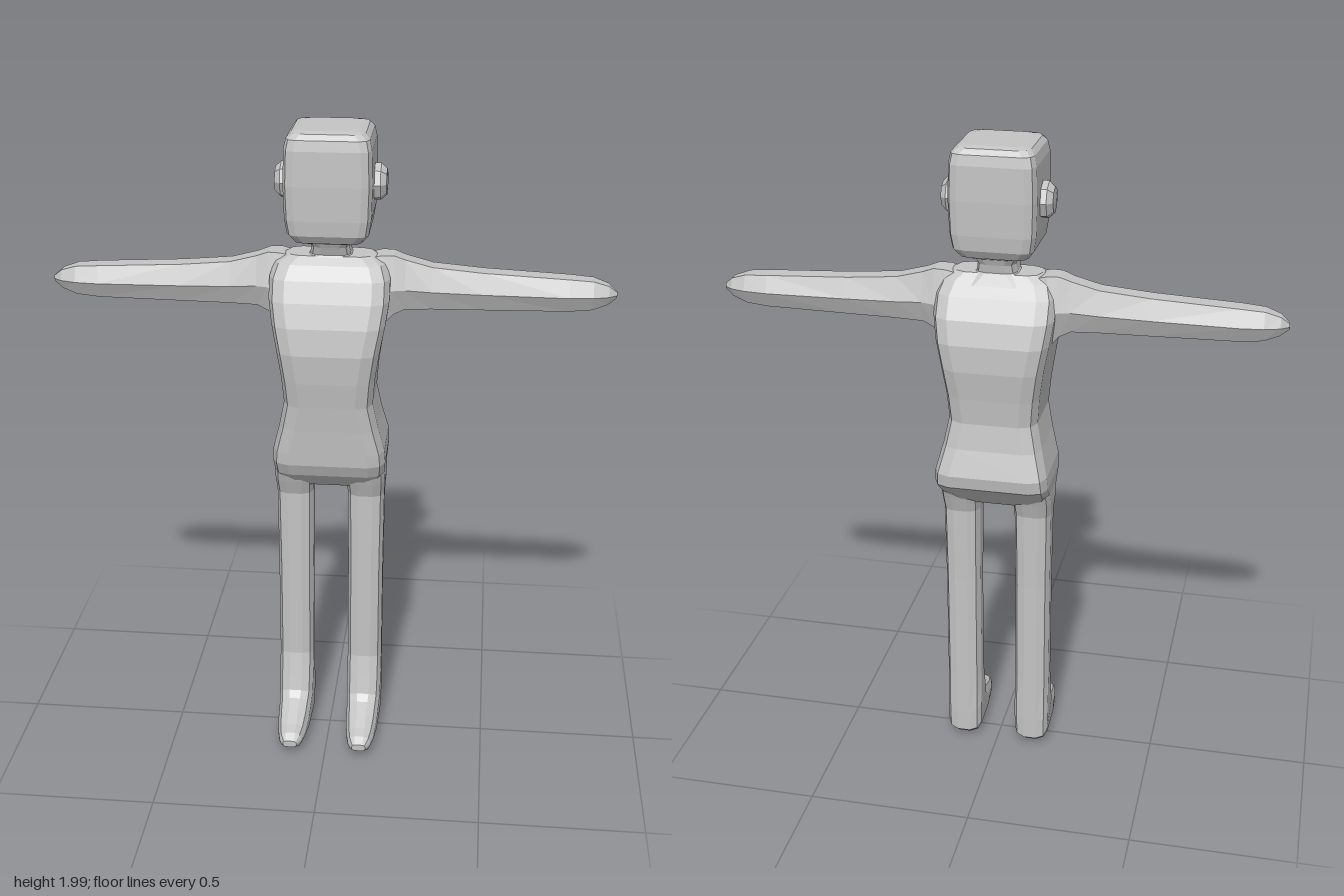
import * as THREE from 'three';

const grey = new THREE.MeshStandardMaterial({ color: 0xc4c4c4, flatShading: true });
grey.name = 'light grey';

// Closed skin through a list of rings (equal point counts), capped at both ends
function loft(name, rings) {
  const n = rings[0].length;
  const pts = rings.flat();
  const index = [];
  for (let r = 0; r < rings.length - 1; r++) {
    for (let i = 0; i < n; i++) {
      const a = r * n + i, b = r * n + (i + 1) % n;
      index.push(a, b, b + n, a, b + n, a + n);
    }
  }
  const last = (rings.length - 1) * n;
  for (let i = 1; i < n - 1; i++) {
    index.push(0, i + 1, i, last, last + i, last + i + 1);
  }
  // Turn every face outward by the sign of the enclosed volume
  let volume = 0;
  const cross = new THREE.Vector3();
  for (let i = 0; i < index.length; i += 3) {
    cross.crossVectors(pts[index[i + 1]], pts[index[i + 2]]);
    volume += pts[index[i]].dot(cross);
  }
  if (volume < 0) index.reverse();
  const geometry = new THREE.BufferGeometry().setFromPoints(pts);
  geometry.setIndex(index);
  geometry.computeVertexNormals();
  const mesh = new THREE.Mesh(geometry, grey);
  mesh.name = name;
  return mesh;
}

// Rounded rectangle ring between a front point and a back point in the yz plane
function ring(cx, w, yF, zF, yB, zB, cut) {
  const d = Math.hypot(yF - yB, zF - zB) / 2;
  const c = Math.min(cut, w * 0.8, d * 0.8);
  const corner = [[w, d - c], [w - 0.3 * c, d - 0.3 * c], [w - c, d]];
  const flip = (sx, sd, list) => list.map(([x, v]) => [x * sx, v * sd]);
  const back = [...corner].reverse();
  const outline = [
    ...corner, ...flip(-1, 1, back), ...flip(-1, -1, corner), ...flip(1, -1, back),
  ];
  return outline.map(([x, v]) => {
    const t = (v / d + 1) / 2;
    return new THREE.Vector3(cx + x, yB + (yF - yB) * t, zB + (zF - zB) * t);
  });
}

// Level ring: height, half width, front z, back z
const level = (cut) => ([y, w, zF, zB]) => ring(0, w, y, zF, y, zB, cut);

// Six-sided arm ring: x, top y, bottom y, half depth
const armRing = (side) => ([x, top, bottom, h]) => {
  const mid = (top + bottom) / 2 * 0.5 + 1.513 * 0.5;
  return [[top, 0.55], [mid, 1], [bottom, 0.55], [bottom, -0.55], [mid, -1], [top, -0.55]]
    .map(([y, k]) => new THREE.Vector3(side * x, y, -0.043 + k * h));
};

export function createModel() {
  const model = new THREE.Group();
  model.name = 'figure';

  // Torso, hips to shoulders
  model.add(loft('torso', [
    [0.885, 0.12, 0.015, -0.09], [0.905, 0.155, 0.035, -0.115], [0.94, 0.17, 0.07, -0.155],
    [0.98, 0.173, 0.088, -0.198], [1.02, 0.17, 0.092, -0.205], [1.1, 0.15, 0.1, -0.18],
    [1.18, 0.134, 0.11, -0.167], [1.26, 0.14, 0.122, -0.175], [1.35, 0.153, 0.13, -0.187],
    [1.43, 0.168, 0.118, -0.185], [1.5, 0.178, 0.095, -0.165], [1.56, 0.178, 0.068, -0.13],
    [1.6, 0.165, 0.04, -0.1], [1.622, 0.13, 0.015, -0.085],
  ].map(level(0.05))));

  // Neck
  model.add(loft('neck', [
    [1.59, 0.09, 0.035, -0.11], [1.625, 0.06, 0.015, -0.09],
    [1.65, 0.056, 0.025, -0.095], [1.69, 0.075, 0.045, -0.11],
  ].map(level(0.03))));

  // Boxy head with softened edges
  model.add(loft('head', [
    [1.668, 0.075, 0.05, -0.1], [1.68, 0.1, 0.085, -0.13], [1.705, 0.118, 0.102, -0.146],
    [1.75, 0.125, 0.107, -0.152], [1.85, 0.128, 0.11, -0.156], [1.95, 0.125, 0.108, -0.155],
    [1.98, 0.119, 0.102, -0.149], [1.995, 0.106, 0.088, -0.135], [2, 0.085, 0.068, -0.115],
  ].map(level(0.03))));

  for (const side of [1, -1]) {
    const label = side > 0 ? 'left' : 'right';

    // Ear: eight-sided disc with a bevelled rim
    const ear = new THREE.Mesh(new THREE.LatheGeometry([
      [0.05, 0.11], [0.055, 0.13], [0.054, 0.145], [0.038, 0.162], [0, 0.165],
    ].map(([r, y]) => new THREE.Vector2(r, y)), 8), grey);
    ear.name = label + 'Ear';
    ear.rotation.z = -side * Math.PI / 2;
    ear.position.set(0, 1.83, -0.035);
    model.add(ear);

    // Outstretched arm
    model.add(loft(label + 'Arm', [
      [0.1, 1.61, 1.36, 0.06], [0.15, 1.622, 1.4, 0.068], [0.185, 1.622, 1.44, 0.06],
      [0.22, 1.609, 1.457, 0.054], [0.3, 1.588, 1.46, 0.052], [0.45, 1.575, 1.462, 0.052],
      [0.7, 1.563, 1.466, 0.052], [0.77, 1.558, 1.472, 0.046], [0.815, 1.543, 1.488, 0.032],
      [0.84, 1.522, 1.505, 0.01],
    ].map(armRing(side))));

    // Leg bending forward into the foot: half width, front y and z, back y and z
    model.add(loft(label + 'Leg', [
      [0.058, 0.97, 0.06, 0.97, -0.14], [0.06, 0.9, 0.035, 0.9, -0.112],
      [0.057, 0.85, 0.016, 0.85, -0.095], [0.055, 0.6, 0.014, 0.6, -0.09],
      [0.055, 0.27, 0.012, 0.25, -0.086], [0.055, 0.2, 0.028, 0.1, -0.085],
      [0.054, 0.145, 0.042, 0.03, -0.083], [0.052, 0.125, 0.06, 0.011, -0.06],
      [0.05, 0.105, 0.105, 0.006, 0.06], [0.044, 0.085, 0.15, 0.012, 0.14],
      [0.036, 0.075, 0.185, 0.022, 0.185], [0.022, 0.058, 0.208, 0.036, 0.208],
    ].map(([w, yF, zF, yB, zB]) => ring(side * 0.111, w, yF, zF, yB, zB, 0.035))));
  }

  // Rest the soles on the ground
  const box = new THREE.Box3().setFromObject(model);
  for (const part of model.children) part.position.y -= box.min.y * (part.position.y > 1 ? 0 : 1);
  return model;
}
